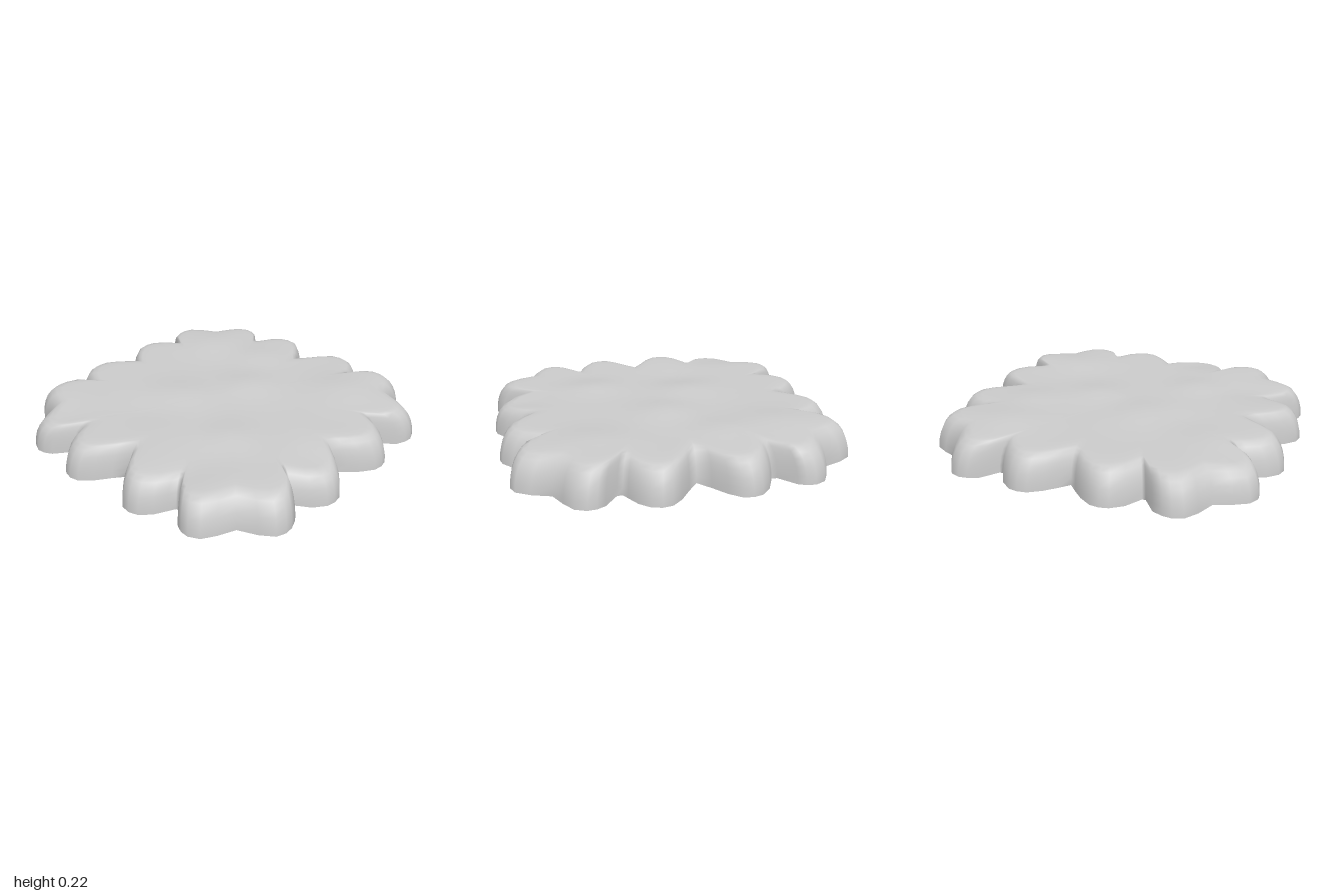
import * as THREE from 'three';

// Scalloped outline of the back left quarter, from the back notch to the side notch: [x, z]
const quarter = [
  [0, -0.775], [0.06, -0.85], [0.12, -0.935], [0.18, -0.99], [0.235, -1], [0.29, -0.985],
  [0.345, -0.93], [0.38, -0.86], [0.4, -0.82], [0.43, -0.82], [0.505, -0.915], [0.55, -0.938],
  [0.6, -0.943], [0.66, -0.915], [0.705, -0.84], [0.745, -0.745], [0.85, -0.705], [0.925, -0.655],
  [0.945, -0.6], [0.94, -0.55], [0.915, -0.49], [0.82, -0.42], [0.82, -0.4], [0.915, -0.345],
  [0.965, -0.28], [0.976, -0.23], [0.968, -0.175], [0.92, -0.105], [0.865, -0.05], [0.81, 0],
];

// Rounded wall section: [scale of the outline, height]
const wall = [
  [1, 0.005], [0.997, 0.05], [0.985, 0.1], [0.968, 0.14], [0.945, 0.172], [0.915, 0.193], [0.88, 0.198],
];

// Gentle swells and dips of the top: [x, z, height, width]
const swells = [
  [-0.55, -0.52, 0.021, 0.2], [-0.2, 0.17, 0.02, 0.2], [0.02, -0.2, 0.02, 0.18],
  [0.5, -0.55, 0.021, 0.2], [0.35, 0.34, 0.017, 0.16], [-0.2, -0.55, 0.016, 0.16],
  [0.5, -0.85, 0.012, 0.15], [-0.2, 0.4, -0.012, 0.18], [0.4, 0.58, -0.012, 0.18],
  [-0.55, 0.82, -0.02, 0.15], [0.85, 0.2, -0.022, 0.14], [0.38, 0.82, -0.012, 0.13],
];

function swellAt(x, z) {
  let y = 0;
  for (const [cx, cz, h, w] of swells) y += h * Math.exp(-((x - cx) ** 2 + (z - cz) ** 2) / (w * w));
  return y;
}

// Mirror the quarter front to back, then left to right
function fullOutline() {
  const front = quarter.slice(0, -1).reverse().map(([x, z]) => [x, -z]);
  const half = [...quarter, ...front];
  const other = half.slice(1, -1).reverse().map(([x, z]) => [-x, z]);
  return [...half, ...other];
}

// Rings run up the wall and then inward across the top to a centre point
function shellGeometry() {
  const outline = fullOutline();
  const n = outline.length;
  const rings = [...wall];
  for (let s = 0.82; s > 0.03; s -= 0.06) rings.push([s, 0.2]);

  const positions = [];
  for (const [s, y] of rings) {
    const lift = THREE.MathUtils.smoothstep(y, 0.1, 0.2);
    for (const [x, z] of outline) positions.push(x * s, y + lift * swellAt(x * s, z * s), z * s);
  }
  positions.push(0, 0.2 + swellAt(0, 0), 0);

  const index = [];
  const centre = rings.length * n;
  for (let r = 0; r < rings.length; r++) {
    for (let i = 0; i < n; i++) {
      const a = r * n + i;
      const b = r * n + (i + 1) % n;
      if (r === rings.length - 1) index.push(a, centre, b);
      else index.push(a, a + n, b, b, a + n, b + n);
    }
  }

  const geometry = new THREE.BufferGeometry();
  geometry.setAttribute('position', new THREE.Float32BufferAttribute(positions, 3));
  geometry.setIndex(index);
  geometry.computeVertexNormals();
  return geometry;
}

export function createModel() {
  const group = new THREE.Group();
  group.name = 'scallopedSlab';
  // Hollow shell, open underneath
  const material = new THREE.MeshStandardMaterial({ color: 0xcccccc, side: THREE.DoubleSide });
  const shell = new THREE.Mesh(shellGeometry(), material);
  shell.name = 'scallopedShell';
  group.add(shell);
  return group;
}
